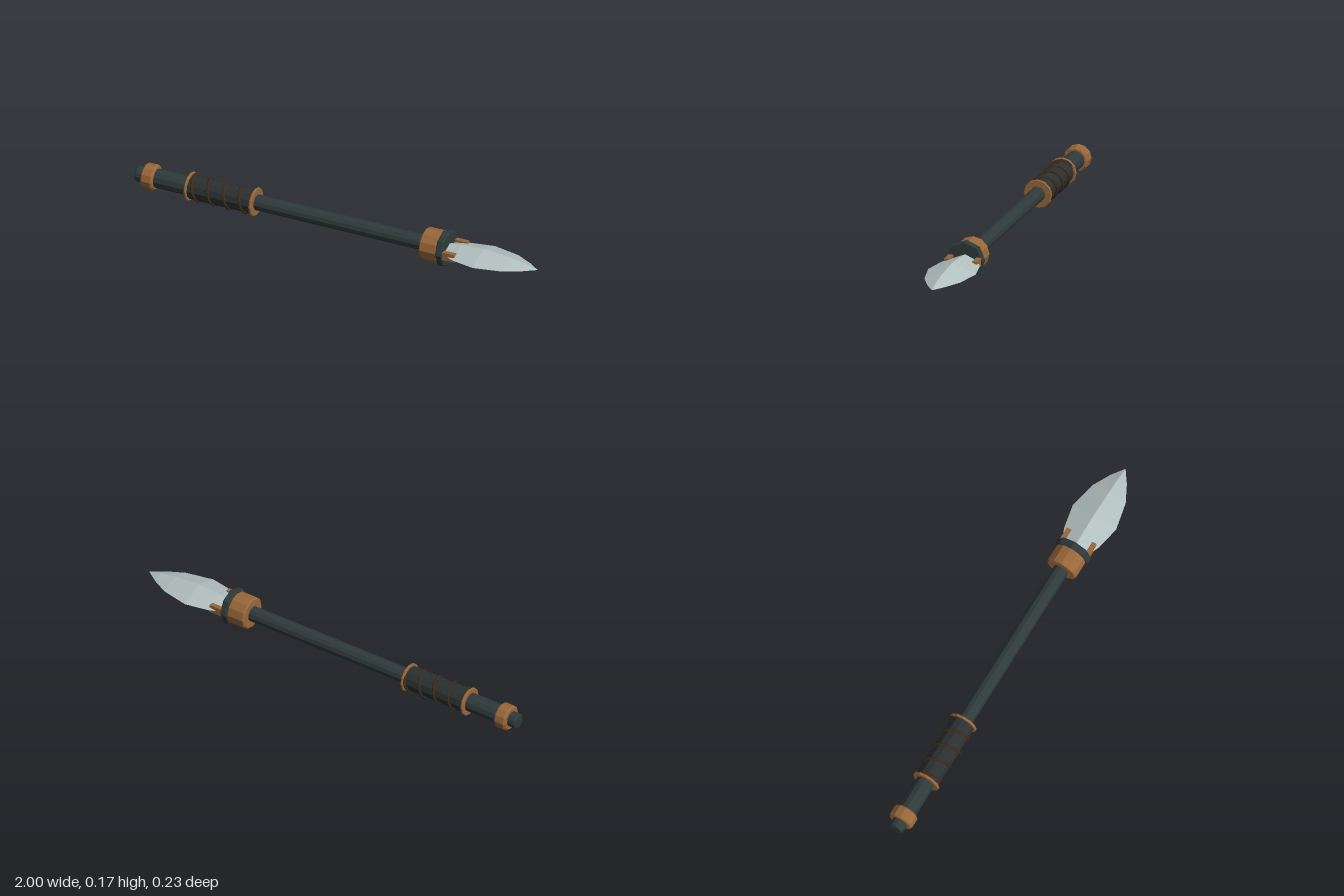
import * as THREE from 'three';

const AXIS_Y = 0.088;
const paint = (name, color) => {
  const m = new THREE.MeshStandardMaterial({ color });
  m.name = name;
  return m;
};

export function createModel() {
  const slate = paint('dark slate', 0x2f3a3a);
  const leather = paint('dark leather', 0x2a3130);
  const cord = paint('brown cord', 0x3d2a1c);
  const copper = paint('copper', 0x99673a);
  const steel = paint('pale steel', 0xb2c0bf);

  const group = new THREE.Group();
  group.name = 'spear';

  const add = (name, geometry, material) => {
    const flat = geometry.index ? geometry.toNonIndexed() : geometry;
    flat.computeVertexNormals();
    const mesh = new THREE.Mesh(flat, material);
    mesh.name = name;
    mesh.position.y += AXIS_Y;
    group.add(mesh);
    return mesh;
  };

  // Chamfered ring or rod lying along x, closed at both ends
  const turned = (name, x0, x1, r, material, chamfer = 0.006, sides = 12) => {
    const profile = [[0, x0], [r - chamfer, x0], [r, x0 + chamfer],
      [r, x1 - chamfer], [r - chamfer, x1], [0, x1]]
      .map(([radius, x]) => new THREE.Vector2(radius, x));
    const geometry = new THREE.LatheGeometry(profile, sides);
    geometry.rotateZ(-Math.PI / 2);
    return add(name, geometry, material);
  };

  // Shaft and butt
  turned('buttTip', -1, -0.95, 0.036, slate);
  turned('buttBand', -0.96, -0.9, 0.06, copper, 0.008);
  turned('rearShaft', -0.91, -0.72, 0.044, slate);
  turned('shaft', -0.42, 0.46, 0.036, slate);

  // Grip with end rings and a wound cord
  turned('grip', -0.732, -0.408, 0.056, leather);
  turned('rearGripRing', -0.738, -0.726, 0.067, copper, 0.003);
  turned('frontGripRing', -0.414, -0.402, 0.067, copper, 0.003);
  const turns = 4, path = [];
  for (let i = 0; i <= turns * 12; i++) {
    const a = (i / 12) * Math.PI * 2;
    path.push(new THREE.Vector3(-0.727 + 0.314 * i / (turns * 12),
      0.057 * Math.cos(a - 0.9), 0.057 * Math.sin(a - 0.9)));
  }
  add('gripCord', new THREE.TubeGeometry(new THREE.CatmullRomCurve3(path), 96, 0.007, 6), cord);

  // Socket and octagonal guard
  turned('socket', 0.44, 0.53, 0.076, copper, 0.006);
  turned('guard', 0.527, 0.56, 0.0865, slate, 0.005, 8);

  // Prongs clamping the blade on both sides
  for (const side of [-1, 1]) {
    const prong = add(side > 0 ? 'frontProng' : 'backProng',
      new THREE.BoxGeometry(0.075, 0.038, 0.022), copper);
    prong.position.x = 0.583;
    prong.position.z = side * 0.066;
  }

  // Blade: diamond sections given as x, half width, half thickness
  const sections = [[0.55, 0.06, 0.026], [0.617, 0.091, 0.035], [0.73, 0.113, 0.042],
    [0.86, 0.085, 0.031], [0.94, 0.043, 0.017], [1, 0, 0]];
  const corners = sections.map(([x, w, t]) => [[x, t, 0], [x, 0, w], [x, -t, 0], [x, 0, -w]]);
  const position = [];
  for (let s = 0; s < sections.length - 1; s++) {
    for (let k = 0; k < 4; k++) {
      const n = (k + 1) % 4;
      const a = corners[s][k], b = corners[s][n], c = corners[s + 1][n], d = corners[s + 1][k];
      position.push(...a, ...b, ...d);
      if (s < sections.length - 2) position.push(...b, ...c, ...d);
    }
  }
  const [p, q, r, t] = corners[0];
  position.push(...p, ...r, ...q, ...p, ...t, ...r);
  const blade = new THREE.BufferGeometry();
  blade.setAttribute('position', new THREE.Float32BufferAttribute(position, 3));
  add('blade', blade, steel);

  return group;
}
